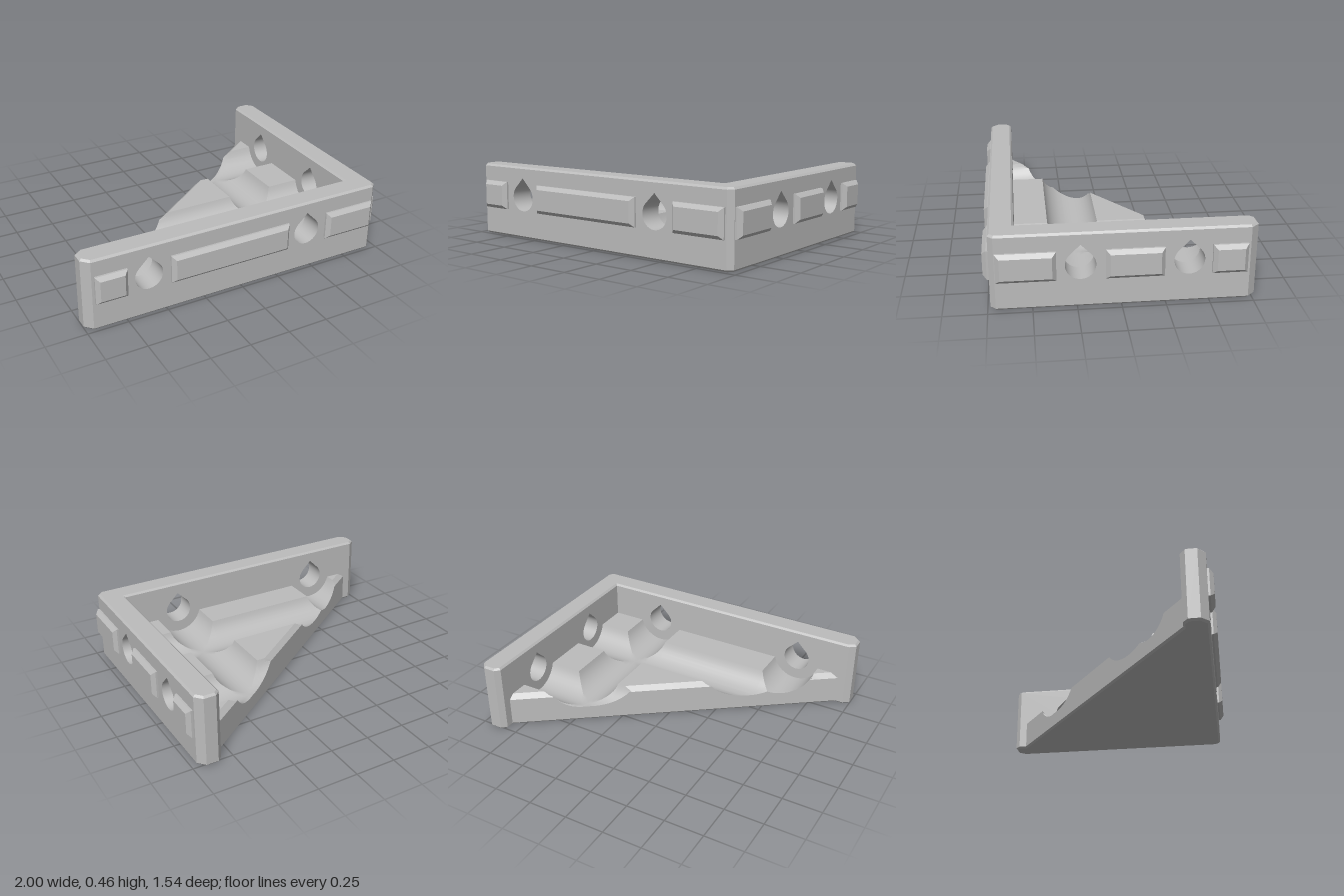
import * as THREE from 'three';
import { mergeGeometries, toCreasedNormals } from 'three/addons/utils/BufferGeometryUtils.js';

const HEIGHT = 0.455, BEVEL = 0.012, THICK = 0.145;
const HOLE_Y = 0.26, HOLE_R = 0.087;
const GROOVE_R = 0.16, TOP = 0.22, CHAMFER = 0.03;
const HOLES_X = [-0.61, 0.45], HOLES_Z = [-0.38, 0.23];

// Plan of the L-shaped wall (x, z), running so that outward is direction x up
const OUTLINE = [[-0.955, 0.735], [0.935, 0.735], [0.965, 0.705], [0.965, -0.725], [0.925, -0.77],
  [0.85, -0.77], [0.82, -0.74], [0.82, 0.59], [-0.96, 0.59], [-1, 0.62], [-1, 0.69]];

function fromTriangles(positions) {
  const g = new THREE.BufferGeometry();
  g.setAttribute('position', new THREE.Float32BufferAttribute(positions, 3));
  return g;
}

function quad(out, a, b, c, d) {
  out.push(...a, ...b, ...c, ...a, ...c, ...d);
}

function bare(geometry) {
  return fromTriangles(Array.from(geometry.toNonIndexed().attributes.position.array));
}

// Teardrop: three quarters of a circle closed by a 45 degree tip
function teardrop(u) {
  const pts = [];
  for (let i = 0; i <= 30; i++) {
    const a = Math.PI * (0.75 + 1.5 * i / 30);
    pts.push(new THREE.Vector2(u + HOLE_R * Math.cos(a), HOLE_Y + HOLE_R * Math.sin(a)));
  }
  pts.push(new THREE.Vector2(u, HOLE_Y + HOLE_R * Math.SQRT2));
  return pts;
}

function insetOutline(e) {
  const n = OUTLINE.length;
  const normal = (i) => {
    const [a, b] = [OUTLINE[i % n], OUTLINE[(i + 1) % n]];
    return new THREE.Vector2(a[1] - b[1], b[0] - a[0]).normalize();
  };
  return OUTLINE.map(([x, z], i) => {
    const p = normal(i + n - 1), q = normal(i), k = e / (1 + p.dot(q));
    return [x - k * (p.x + q.x), z - k * (p.y + q.y)];
  });
}

function wallGeometry() {
  const parts = [], tris = [], n = OUTLINE.length, inner = insetOutline(BEVEL);
  const at = (p, y) => [p[0], y, p[1]];
  OUTLINE.forEach((a, i) => {
    const j = (i + 1) % n, b = OUTLINE[j];
    // bevels along the bottom and top rims
    quad(tris, at(inner[i], 0), at(inner[j], 0), at(b, BEVEL), at(a, BEVEL));
    quad(tris, at(a, HEIGHT - BEVEL), at(b, HEIGHT - BEVEL), at(inner[j], HEIGHT), at(inner[i], HEIGHT));
    const dir = new THREE.Vector3(b[0] - a[0], 0, b[1] - a[1]), len = dir.length();
    dir.normalize();
    if (len < 1) {
      quad(tris, at(a, BEVEL), at(b, BEVEL), at(b, HEIGHT - BEVEL), at(a, HEIGHT - BEVEL));
      return;
    }
    // long faces pierced by the teardrop holes
    const up = new THREE.Vector3(0, 1, 0), out = dir.clone().cross(up);
    const matrix = new THREE.Matrix4().makeBasis(dir, up, out).setPosition(a[0], 0, a[1]);
    const shape = new THREE.Shape([[0, BEVEL], [len, BEVEL], [len, HEIGHT - BEVEL], [0, HEIGHT - BEVEL]]
      .map((p) => new THREE.Vector2(...p)));
    const alongX = Math.abs(dir.x) > 0.5;
    const us = alongX ? HOLES_X.map((x) => (x - a[0]) * dir.x) : HOLES_Z.map((z) => (z - a[1]) * dir.z);
    us.forEach((u) => {
      const pts = teardrop(u);
      shape.holes.push(new THREE.Path(pts));
      // lining of each hole, made once from the outer face
      if (out.x + out.z < 0) return;
      const put = (p, w) => new THREE.Vector3(p.x, p.y, w).applyMatrix4(matrix).toArray();
      pts.forEach((p, k) => {
        const q = pts[(k + 1) % pts.length];
        quad(tris, put(p, 0), put(q, 0), put(q, -THICK), put(p, -THICK));
      });
    });
    parts.push(bare(new THREE.ShapeGeometry(shape).applyMatrix4(matrix)));
  });
  // top and bottom rims
  const cap = (s) => new THREE.ShapeGeometry(new THREE.Shape(inner.map(([x, z]) => new THREE.Vector2(x, s * z))));
  parts.push(bare(cap(-1).rotateX(-Math.PI / 2).translate(0, HEIGHT, 0)));
  parts.push(bare(cap(1).rotateX(Math.PI / 2)));
  parts.push(fromTriangles(tris));
  return toCreasedNormals(mergeGeometries(parts), 0.4);
}

// Keeps the part of a plan polygon where f >= 0
function clip(poly, f) {
  const out = [];
  poly.forEach((a, i) => {
    const b = poly[(i + 1) % poly.length], fa = f(a), fb = f(b);
    if (fa >= 0) out.push(a);
    if ((fa > 0 && fb < 0) || (fa < 0 && fb > 0)) {
      const t = fa / (fa - fb);
      out.push([a[0] + t * (b[0] - a[0]), a[1] + t * (b[1] - a[1])]);
    }
  });
  return out;
}

// Triangular floor with round grooves leading from every hole
function baseGeometry() {
  const nx = 1.28 / 2.152, nz = 1.73 / 2.152;
  const dist = ([x, z]) => (x + 0.91) * nx + (z - 0.59) * nz;
  const maxAngle = Math.acos((HOLE_Y - TOP) / GROOVE_R), steps = 16;
  const halfWidth = GROOVE_R * Math.sin(maxAngle);
  const lines = (lo, centres, hi) => {
    const list = [lo];
    centres.forEach((c) => {
      for (let i = 0; i <= steps; i++) list.push(c + GROOVE_R * Math.sin(maxAngle * (2 * i / steps - 1)));
    });
    return [...list, hi];
  };
  const xs = lines(-0.96, HOLES_X, 0.85), zs = lines(-0.73, HOLES_Z, 0.62);
  const floor = (t) => (Math.abs(t) < halfWidth ? HOLE_Y - Math.sqrt(GROOVE_R ** 2 - t * t) : TOP);
  const carved = ([x, z]) => Math.min(...HOLES_X.map((c) => floor(x - c)), ...HOLES_Z.map((c) => floor(z - c)));
  const top = (p) => [p[0], Math.min(carved(p), TOP - CHAMFER + Math.max(0, dist(p))), p[1]];
  const tris = [];
  const emit = (poly) => {
    for (let i = 1; i + 1 < poly.length; i++) tris.push(...top(poly[0]), ...top(poly[i]), ...top(poly[i + 1]));
    // sloping side below the long edge
    poly.forEach((a, i) => {
      const b = poly[(i + 1) % poly.length];
      if (poly.length < 3 || Math.abs(dist(a)) > 1e-6 || Math.abs(dist(b)) > 1e-6) return;
      const low = (p) => [p[0], BEVEL, p[1]];
      const foot = (p) => [p[0] + BEVEL * nx, 0, p[1] + BEVEL * nz];
      quad(tris, top(b), top(a), low(a), low(b));
      quad(tris, low(b), low(a), foot(a), foot(b));
    });
  };
  for (let i = 0; i + 1 < xs.length; i++) {
    for (let j = 0; j + 1 < zs.length; j++) {
      const a = [xs[i], zs[j]], b = [xs[i], zs[j + 1]], c = [xs[i + 1], zs[j + 1]], d = [xs[i + 1], zs[j]];
      // split along the ridge where two grooves cross
      const split = carved(a) + carved(c) >= carved(b) + carved(d) ? [[a, b, c], [a, c, d]] : [[a, b, d], [b, c, d]];
      split.forEach((t) => {
        emit(clip(t, (p) => dist(p) - CHAMFER));
        emit(clip(clip(t, dist), (p) => CHAMFER - dist(p)));
      });
    }
  }
  // underside
  const under = clip([[-0.96, -0.73], [0.85, -0.73], [0.85, 0.62], [-0.96, 0.62]], (p) => dist(p) - BEVEL);
  for (let i = 1; i + 1 < under.length; i++) {
    [under[0], under[i], under[i + 1]].forEach((p) => tris.push(p[0], 0, p[1]));
  }
  return toCreasedNormals(fromTriangles(tris), 0.5);
}

// Raised pad with chamfered rim; its front lies on z = 0
function padGeometry(u0, u1) {
  const b = 0.023, depth = 0.03, y0 = 0.175, y1 = 0.35;
  const shape = new THREE.Shape([[u0, y0], [u1, y0], [u1, y1], [u0, y1]].map((p) => new THREE.Vector2(...p)));
  return new THREE.ExtrudeGeometry(shape, {
    depth, bevelEnabled: true, bevelSegments: 1, bevelSize: b, bevelThickness: b, bevelOffset: -b,
  }).translate(0, 0, -depth - b);
}

export function createModel() {
  const model = new THREE.Group();
  model.name = 'cornerBracket';
  const grey = new THREE.MeshStandardMaterial({ color: 0xbcbcbc });
  grey.name = 'grey';
  const add = (name, geometry) => {
    const mesh = new THREE.Mesh(geometry, grey);
    mesh.name = name;
    model.add(mesh);
    return mesh;
  };
  add('cornerWalls', wallGeometry());
  add('groovedBase', baseGeometry());
  [[-0.94, -0.745], [-0.475, 0.315], [0.585, 0.925]].forEach(([a, b], i) => {
    add(`frontPad${i + 1}`, padGeometry(a, b)).position.z = 0.77;
  });
  [[-0.7, -0.365], [-0.09, 0.24], [0.51, 0.71]].forEach(([a, b], i) => {
    const pad = add(`sidePad${i + 1}`, padGeometry(a, b));
    pad.rotation.y = Math.PI / 2;
    pad.position.x = 1;
  });
  return model;
}
